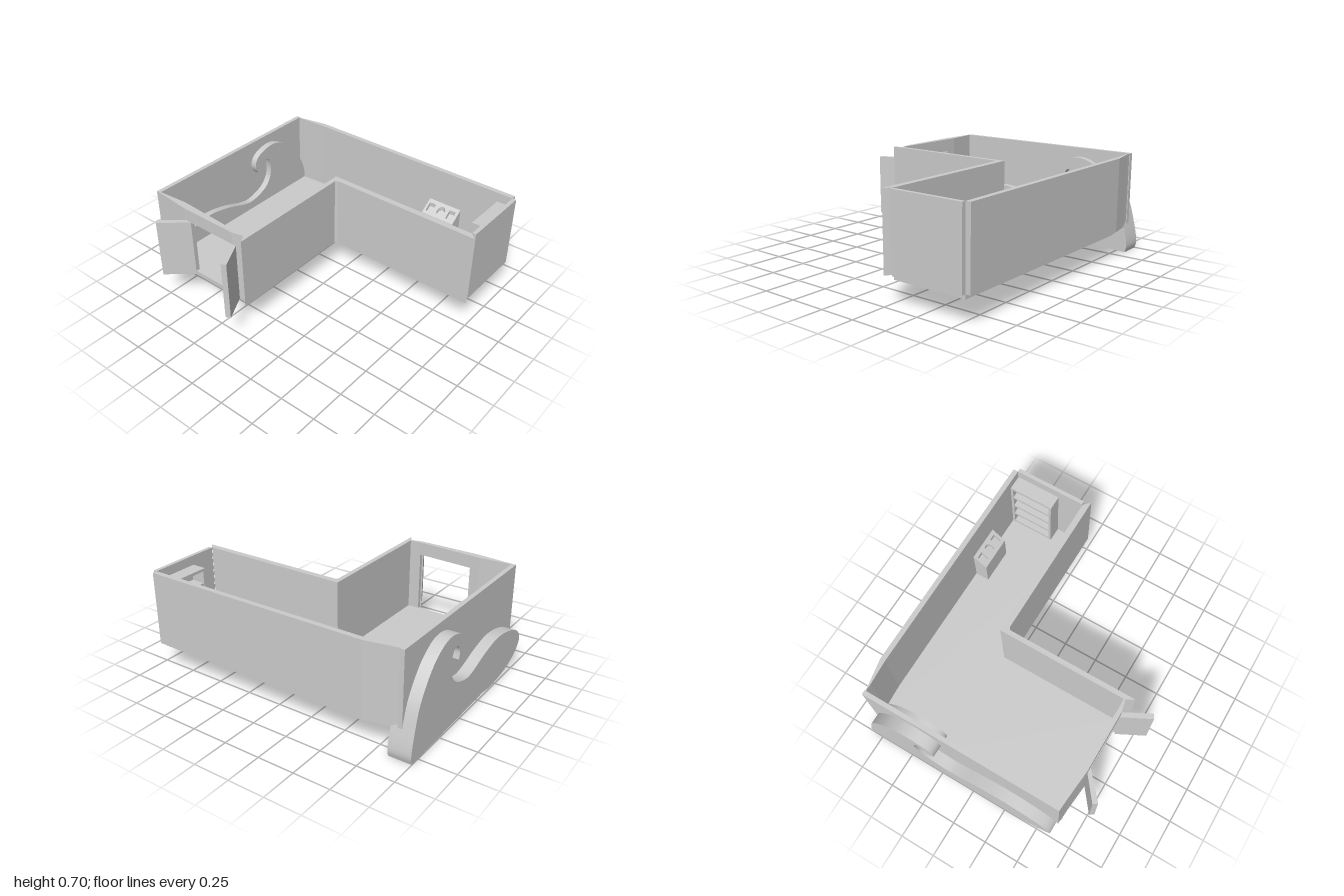
import * as THREE from 'three';
import { toCreasedNormals } from 'three/addons/utils/BufferGeometryUtils.js';

const material = new THREE.MeshStandardMaterial({ color: 0xcccccc, side: THREE.DoubleSide });
const FLOOR = 0.19, TOP = 0.70;

const v2 = (pts) => pts.map(([a, b]) => new THREE.Vector2(a, b));

export function createModel() {
  const model = new THREE.Group();

  const add = (name, geometry, parent = model) => {
    const mesh = new THREE.Mesh(geometry, material);
    mesh.name = name;
    parent.add(mesh);
    return mesh;
  };

  // Upright prism from a plan outline given as [x, z] corners
  const prismGeometry = (plan, y0, y1, holes = []) => {
    const shape = new THREE.Shape(v2(plan.map(([x, z]) => [x, -z])));
    shape.holes = holes;
    return new THREE.ExtrudeGeometry(shape, { depth: y1 - y0, bevelEnabled: false, curveSegments: 20 })
      .rotateX(-Math.PI / 2).translate(0, y0, 0);
  };
  const prism = (name, plan, y0 = FLOOR, y1 = TOP, parent = model) =>
    add(name, prismGeometry(plan, y0, y1), parent);
  const rect = (x0, x1, z0, z1) => [[x0, z0], [x1, z0], [x1, z1], [x0, z1]];

  // Floors: the long wing rises towards the back
  const wing = new THREE.Shape(v2([[-0.945, 0.16], [0.65, 0.16], [0.845, 0.182], [0.89, 0.182], [0.89, 0.192], [-0.945, 0.192]]));
  add('wingFloor', new THREE.ExtrudeGeometry(wing, { depth: 0.52, bevelEnabled: false })
    .rotateY(Math.PI / 2).translate(0.28, 0, 0));
  prism('mainFloor', rect(-0.625, 0.28, -0.89, -0.1), 0.175, 0.192);
  prism('floorCorner', [[-0.625, -0.84], [-0.43, -0.65], [-0.43, -0.11], [-0.625, -0.11]], 0.16, 0.175);

  // Walls with mitred ends
  prism('backWall', rect(-0.62, 0.80, -0.92, -0.89));
  prism('longSideWall', [[0.79, -0.92], [0.80, -0.85], [0.835, -0.67], [0.835, 0.945], [0.80, 0.945], [0.80, -0.67], [0.79, -0.84]]);
  prism('wingEndWall', rect(0.29, 0.80, 0.945, 0.972));
  prism('innerCornerWalls', [[-0.68, -0.087], [-0.62, -0.12], [0.285, -0.12], [0.285, 0.945], [0.243, 0.99],
    [0.243, -0.07], [0.23, -0.087]]);

  // Entrance wall: two jambs and a lintel
  prism('entranceWall', [[-0.62, -0.91], [-0.625, -0.84], [-0.645, -0.63], [-0.645, -0.6], [-0.597, -0.6], [-0.593, -0.67], [-0.61, -0.89]]);
  prism('entranceLintel', [[-0.645, -0.6], [-0.645, -0.2], [-0.617, -0.2], [-0.597, -0.6]], 0.61, TOP);
  prism('entranceJamb', [[-0.645, -0.2], [-0.625, -0.11], [-0.615, -0.11], [-0.617, -0.2]]);

  // Open double doors
  prism('backDoor', [[-0.645, -0.62], [-0.765, -0.77], [-0.793, -0.748], [-0.645, -0.578]], FLOOR, 0.61);
  prism('frontDoor', [[-0.645, -0.21], [-0.836, -0.112], [-0.82, -0.08], [-0.645, -0.172]], FLOOR, 0.61);

  // Curling wave panel standing through the back wall
  const wave = new THREE.Shape();
  wave.moveTo(0.818, 0.003);
  wave.splineThru(v2([[0.828, 0.06], [0.805, 0.18], [0.75, 0.36], [0.64, 0.52], [0.53, 0.605], [0.43, 0.635],
    [0.33, 0.62], [0.262, 0.58], [0.243, 0.52], [0.265, 0.465], [0.31, 0.44]]));
  wave.splineThru(v2([[0.302, 0.495], [0.33, 0.54], [0.372, 0.535], [0.396, 0.49], [0.4, 0.42], [0.38, 0.355],
    [0.32, 0.295], [0.2, 0.256], [0.1, 0.265], [-0.07, 0.32], [-0.25, 0.348], [-0.43, 0.318], [-0.55, 0.265],
    [-0.6, 0.205], [-0.595, 0.16], [-0.53, 0.095], [-0.4, 0.042], [-0.2, 0.016], [-0.07, 0.026]]));
  wave.closePath();
  const waveGeometry = new THREE.ExtrudeGeometry(wave, { depth: 0.155, bevelEnabled: false, curveSegments: 5 });
  add('wavePanel', toCreasedNormals(waveGeometry.translate(0, 0, -1), 0.6));

  // Control console with a sloping, recessed top
  const consoleGroup = new THREE.Group();
  consoleGroup.name = 'controlConsole';
  model.add(consoleGroup);
  const outline = rect(0.70, 0.798, 0.33, 0.58);
  const recess = (z) => new THREE.Path(v2(rect(0.72, 0.775, z - 0.025, z + 0.025).map(([x, c]) => [x, -c])));
  const dial = new THREE.Path();
  dial.absarc(0.747, -0.455, 0.03, 0, Math.PI * 2);
  const slope = (geometry) => {
    const p = geometry.attributes.position;
    for (let i = 0; i < p.count; i++) {
      if (p.getY(i) > 0.25) p.setY(i, p.getY(i) + (p.getX(i) - 0.70) * 0.7);
    }
    geometry.computeVertexNormals();
    return geometry;
  };
  add('consoleBody', slope(prismGeometry(outline, FLOOR, 0.355)), consoleGroup);
  add('consoleTop', slope(prismGeometry(outline, 0.355, 0.385, [recess(0.372), recess(0.535), dial])), consoleGroup);

  // Bookcase at the end of the wing
  const bookcase = new THREE.Group();
  bookcase.name = 'bookcase';
  model.add(bookcase);
  for (const x of [0.475, 0.78]) prism('bookcaseSide', rect(x, x + 0.018, 0.84, 0.945), FLOOR, 0.635, bookcase);
  for (let i = 0; i < 5; i++) {
    const y = 0.195 + i * 0.105;
    prism('shelf', rect(0.493, 0.78, 0.842, 0.945), y, y + 0.02, bookcase);
  }

  return model;
}
